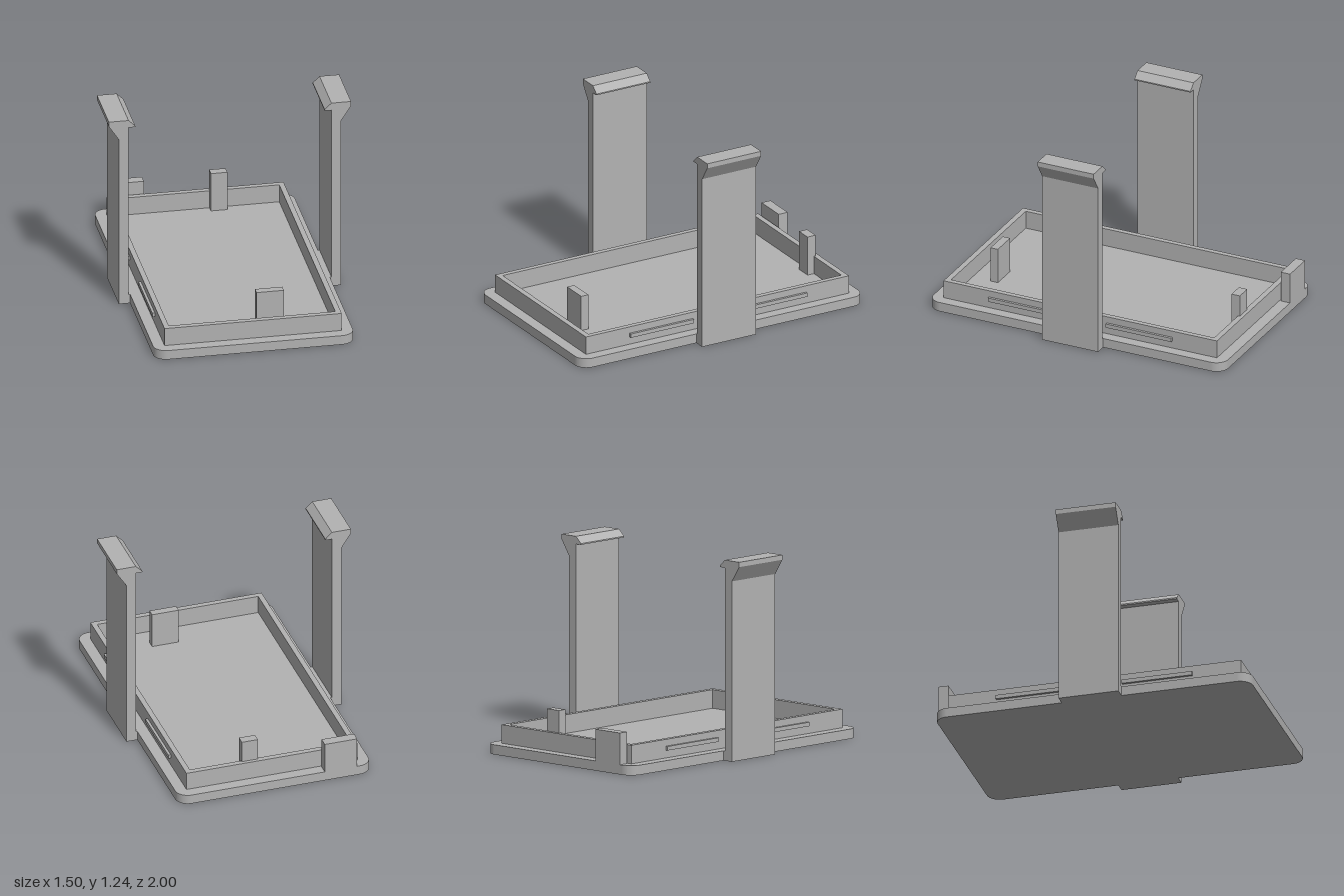
import * as THREE from 'three';

const BASE_H = 0.06;

export function createModel() {
  const model = new THREE.Group();
  model.name = 'clipLid';
  const grey = new THREE.MeshStandardMaterial({ color: 0xb2b2b2 });
  grey.name = 'plain grey';

  const add = (name, geometry) => {
    const mesh = new THREE.Mesh(geometry, grey);
    mesh.name = name;
    model.add(mesh);
    return mesh;
  };

  // Box given by its limits on each axis
  const block = (name, x0, x1, y0, y1, z0, z1) =>
    add(name, new THREE.BoxGeometry(x1 - x0, y1 - y0, z1 - z0)
      .translate((x0 + x1) / 2, (y0 + y1) / 2, (z0 + z1) / 2));

  // Plan outline extruded upwards
  const slab = (shape, y, height) =>
    new THREE.ExtrudeGeometry(shape, { depth: height, bevelEnabled: false, curveSegments: 10 })
      .rotateX(-Math.PI / 2).translate(0, y, 0);

  const rectangle = (w, d) => [[-w, -d], [w, -d], [w, d], [-w, d]]
    .map(([x, y]) => new THREE.Vector2(x, y));

  // Base plate with rounded corners
  const w = 0.62, d = 1, r = 0.08;
  const plate = new THREE.Shape();
  plate.absarc(w - r, d - r, r, 0, Math.PI / 2);
  plate.absarc(-w + r, d - r, r, Math.PI / 2, Math.PI);
  plate.absarc(-w + r, -d + r, r, Math.PI, Math.PI * 1.5);
  plate.absarc(w - r, -d + r, r, Math.PI * 1.5, Math.PI * 2);
  plate.closePath();
  add('basePlate', slab(plate, 0, BASE_H));

  // Raised rim, open in the middle
  const rim = new THREE.Shape(rectangle(0.55, 0.928));
  rim.holes.push(new THREE.Path(rectangle(0.517, 0.893).reverse()));
  add('rim', slab(rim, BASE_H, 0.115));

  // Tall clip arms with hooked heads, joined to the plate by a foot
  const profile = [
    [0.61, 0], [0.69, 0], [0.69, 1.115], [0.752, 1.21], [0.752, 1.24], [0.63, 1.24],
    [0.588, 1.2], [0.588, 1.192], [0.63, 1.192], [0.63, BASE_H], [0.61, BASE_H],
  ];
  for (const side of [1, -1]) {
    const label = side > 0 ? 'left' : 'right';
    const outline = new THREE.Shape(profile.map(([x, y]) => new THREE.Vector2(side * x, y)));
    add(label + 'ClipArm', new THREE.ExtrudeGeometry(outline, { depth: 0.38, bevelEnabled: false })
      .translate(0, 0, -0.19));

    // Snap ridges along the outside of the rim
    for (const [end, z0, z1] of [['Front', 0.175, 0.62], ['Back', -0.625, -0.18]]) {
      const x = side * 0.55, tip = side * 0.566;
      block(label + end + 'Ridge', Math.min(x, tip), Math.max(x, tip), 0.108, 0.133, z0, z1);
    }
  }

  // Upright tabs
  block('frontTab', 0.052, 0.222, BASE_H, 0.287, 0.72, 0.77);
  block('backTab', 0.084, 0.186, BASE_H, 0.313, -0.905, -0.848);
  block('cornerTab', -0.523, -0.315, BASE_H, 0.256, -1, -0.937);

  return model;
}
